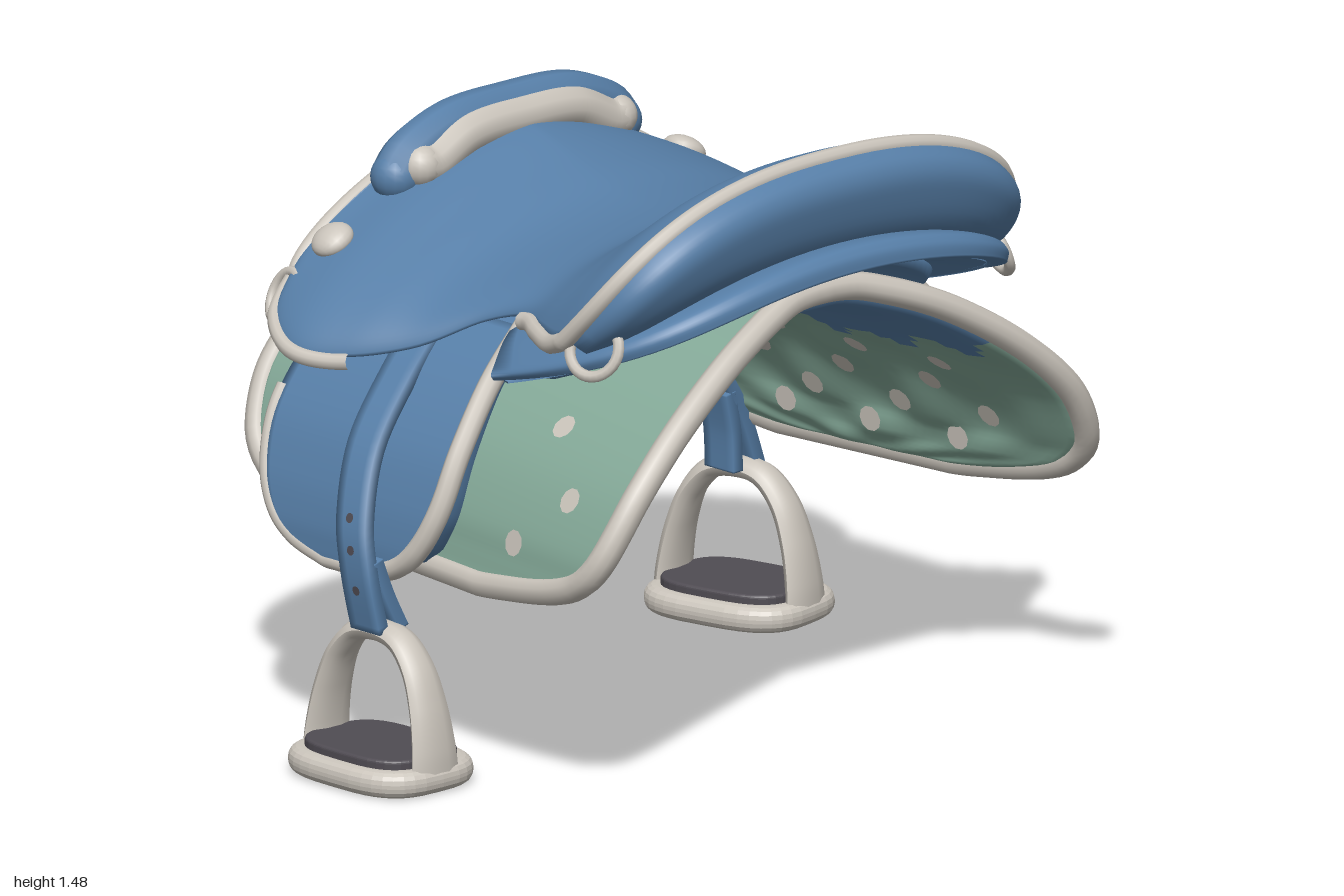
import * as THREE from 'three';

const paint = (name, color) => {
  const m = new THREE.MeshStandardMaterial({ color });
  m.name = name;
  return m;
};
const V = (x, y, z) => new THREE.Vector3(x, y, z);
const { clamp, lerp, smoothstep } = THREE.MathUtils;

// Smooth interpolation through the rows of a small table
const table = rows => t => {
  const n = rows.length, k = clamp(t, 0, 1) * (n - 1), i = Math.min(Math.floor(k), n - 2), w = k - i;
  const [a, b, c, d] = [-1, 0, 1, 2].map(o => rows[clamp(i + o, 0, n - 1)]);
  return b.map((_, j) => b[j] + 0.5 * w * (c[j] - a[j] + w * (2 * a[j] - 5 * b[j] + 4 * c[j] - d[j]
    + w * (3 * (b[j] - c[j]) + d[j] - a[j]))));
};

// Arched surface; rows hold ridge x, ridge y, edge x, edge y, half width, roundness power
const arch = rows => {
  const at = table(rows);
  return (u, v) => {
    const [xr, top, xe, low, half, q] = at(u), a = Math.abs(v) * Math.PI / 2;
    const c = Math.pow(Math.max(0, Math.cos(a)), q);
    return V(lerp(xr, xe, (1 - c) ** 2), lerp(low, top, c), Math.sign(v) * half * Math.pow(Math.sin(a), q));
  };
};

// Outward normal of a surface
const normalAt = (f, u, v, v0 = -1) => {
  const e = 0.004, cu = x => clamp(x, 0, 1), cv = x => clamp(x, v0, 1);
  const du = f(cu(u + e), v).sub(f(cu(u - e), v)), dv = f(u, cv(v + e)).sub(f(u, cv(v - e)));
  return dv.cross(du).normalize();
};

// Closed sheet with thickness depth(u, v); group 1 is the middle of its underside
function slab(f, nu, nv, depth, v0 = -1, liner = 0) {
  const pos = [], main = [], under = [], count = (nu + 1) * (nv + 1);
  for (let side = 0; side < 2; side++)
    for (let j = 0; j <= nv; j++)
      for (let i = 0; i <= nu; i++) {
        const u = i / nu, v = lerp(v0, 1, j / nv), p = f(u, v);
        if (side) p.addScaledVector(normalAt(f, u, v, v0), -depth(u, v));
        pos.push(p.x, p.y, p.z);
      }
  const id = (i, j) => j * (nu + 1) + i;
  for (let j = 0; j < nv; j++)
    for (let i = 0; i < nu; i++) {
      const a = id(i, j), b = id(i + 1, j), c = id(i, j + 1), d = id(i + 1, j + 1);
      main.push(a, c, b, b, c, d);
      const mid = Math.abs(lerp(v0, 1, (j + 0.5) / nv));
      const ragged = liner + 0.03 * Math.sin(i * 0.9);
      (liner && mid < ragged ? under : main).push(...[a, b, c, b, d, c].map(k => k + count));
    }
  const wall = (a, b) => main.push(a, b, a + count, b, b + count, a + count);
  for (let i = 0; i < nu; i++) { wall(id(i, 0), id(i + 1, 0)); wall(id(i + 1, nv), id(i, nv)); }
  for (let j = 0; j < nv; j++) { wall(id(0, j + 1), id(0, j)); wall(id(nu, j), id(nu, j + 1)); }
  const g = new THREE.BufferGeometry();
  g.setAttribute('position', new THREE.Float32BufferAttribute(pos, 3));
  g.setIndex([...main, ...under]);
  g.addGroup(0, main.length, 0);
  g.addGroup(main.length, under.length, 1);
  g.computeVertexNormals();
  return g;
}

const tube = (pts, r, closed = false, segs = 160) =>
  new THREE.TubeGeometry(new THREE.CatmullRomCurve3(pts, closed, 'centripetal'), segs, r, 10, closed);

// Points along a straight run in (u, v) over a sheet, without the last one
const run = (f, n, [u0, v0], [u1, v1]) =>
  Array.from({ length: n }, (_, i) => f(lerp(u0, u1, i / n), lerp(v0, v1, i / n)));

export function createModel() {
  const blue = paint('blue leather', 0x577fa8), cream = paint('pale trim', 0xcbc5bc);
  const green = paint('green cloth', 0x85aa99), dark = paint('dark rubber', 0x504c53);
  const model = new THREE.Group(), saddle = new THREE.Group();
  saddle.name = 'saddle';
  saddle.position.z = -0.08;
  model.add(saddle);
  const add = (name, geo, mat, parent = saddle) => {
    const m = new THREE.Mesh(geo, mat);
    m.name = name;
    parent.add(m);
    return m;
  };
  const place = (mesh, p, n, lift) => {
    mesh.position.copy(p).addScaledVector(n, lift);
    mesh.quaternion.setFromUnitVectors(V(0, 0, 1), n);
  };

  // Saddle cloth: y, half width, front x, back x from ridge to hem
  const cloth = table([[1.14, 0, -.57, .60], [1.132, .13, -.575, .605], [1.075, .32, -.61, .645], [1.0, .48, -.655, .675],
    [.90, .64, -.695, .70], [.78, .775, -.71, .71], [.645, .86, -.675, .68], [.567, .882, -.59, .60],
    [.525, .892, -.46, .45], [.498, .9, -.28, .25]]);
  const pad = (u, v) => {
    const [y, d, x0, x1] = cloth(Math.abs(v)), x = lerp(x0, x1, u);
    return V(x, y, Math.sign(v) * d * (0.83 + 0.135 * x));
  };
  // Lining, thickest under the ridge and quilted on the sides
  const quilt = (u, v) => {
    const a = Math.abs(v), edge = Math.sqrt(Math.max(0, Math.sin(Math.PI * u) * (1 - v * v)));
    return .045 + edge * (.05 * (1 - a) + .03 + .014 * smoothstep(a, .25, .5) * Math.sin(u * 25) * Math.sin(v * 22));
  };
  add('saddleCloth', slab(pad, 48, 80, quilt, -1, 0.4), [green, blue]);
  const rim = [...run(pad, 16, [0, -1], [1, -1]), ...run(pad, 36, [1, -1], [1, 1]),
    ...run(pad, 16, [1, 1], [0, 1]), ...run(pad, 36, [0, 1], [0, -1])].map(p => p.add(V(0, -.012, -.015 * Math.sign(p.z))));
  add('clothTrim', tube(rim, 0.034, true, 260), cream);

  // Dots on both faces of the cloth
  const dot = (x, y, side, inside) => {
    let lo = 0, hi = 1;
    for (let k = 0; k < 24; k++) { const m = (lo + hi) / 2; if (cloth(m)[0] > y) lo = m; else hi = m; }
    const [, , x0, x1] = cloth(lo), u = (x - x0) / (x1 - x0), n = normalAt(pad, u, side * lo), p = pad(u, side * lo);
    if (inside) p.addScaledVector(n, -quilt(u, side * lo)), n.negate();
    place(add('clothDot', new THREE.CircleGeometry(0.032, 10), cream), p, n, 0.007);
  };
  for (const side of [1, -1]) {
    for (const [x, y] of [[-.585, .87], [-.525, .705], [-.42, .58], [.37, .86], [.52, .735], [.37, .61]]) dot(x, y, side);
    for (let r = 0; r < 4; r++)
      for (let k = 0; k < 4; k++) dot(-.46 + .26 * k + .12 * (r % 2), .585 + .1 * r, side, true);
  }

  // Under panel, rear skirt, pommel front and padded cantle back
  add('underPanel', slab(arch([[-.59, 1.18, -.46, .88, .67, 1.1], [-.3, 1.18, -.3, .9, .62, 1.1], [0, 1.17, 0, .93, .6, 1.1],
    [.5, 1.18, .3, .96, .58, 1.1]]), 24, 40, () => .03), blue);
  add('rearSkirt', slab(arch([[.2, 1.15, .1, 1.06, .5, 1], [.45, 1.21, .15, 1.03, .6, 1], [.68, 1.26, .19, .99, .67, 1],
    [.735, 1.245, .2, .97, .69, 1], [.745, 1.205, .2, .955, .68, 1]]), 24, 48, u => .04 + .025 * u), blue);
  add('pommelFront', slab(arch([[-.58, 1.16, -.52, .95, .62, 1.1], [-.575, 1.27, -.55, 1.02, .63, 1.3],
    [-.56, 1.33, -.55, 1.06, .62, 1.35]]), 10, 40, () => .02), blue);
  add('cantleBack', slab(arch([[.63, 1.47, .43, 1.11, .67, .85], [.69, 1.43, .47, 1.09, .665, .85],
    [.70, 1.36, .48, 1.07, .64, .87], [.65, 1.24, .45, 1.05, .6, .95], [.5, 1.18, .35, 1.04, .55, 1]]), 24, 48, () => .02), blue);

  // Seat with trim round the pommel and round the cantle
  const seat = arch([[-.56, 1.33, -.55, 1.06, .62, 1.4], [-.50, 1.34, -.50, .99, .73, 1.5], [-.38, 1.32, -.38, .94, .79, 1.4],
    [-.22, 1.265, -.24, .935, .755, 1.25], [-.08, 1.225, -.08, .975, .67, 1.15], [.08, 1.22, .06, 1.05, .585, 1.05],
    [.24, 1.25, .18, 1.085, .56, .95], [.40, 1.355, .27, 1.085, .605, .9], [.53, 1.445, .36, 1.085, .65, .86],
    [.63, 1.47, .43, 1.11, .67, .85]]);
  add('seat', slab(seat, 60, 64, () => .03), blue);
  const seatTrim = (name, end, stop, r) => {
    const pts = [...run(seat, 14, [stop, -1], [end, -1]), ...run(seat, 32, [end, -1], [end, 1]),
      ...run(seat, 14, [end, 1], [stop, 1])].map(p => p.add(V(0, -.012, 0)));
    add(name, tube(pts, r, false, 200), cream);
  };
  seatTrim('pommelTrim', 0, .37, .02);
  seatTrim('cantleTrim', 1, .63, .023);

  // Pommel roll with a pale strip behind it
  const roll = (name, x, y, r, reach, drop, mat) => {
    const path = [[-1, -drop], [-.9, -.06], [-.55, -.01], [0, 0], [.55, -.01], [.9, -.06], [1, -drop]]
      .map(([z, h]) => V(x, y + h, z * reach));
    add(name, tube(path, r, false, 48), mat);
    for (const p of [path[0], path[6]]) add(name + 'End', new THREE.SphereGeometry(r, 16, 12), mat).position.copy(p);
  };
  roll('pommelRoll', -.487, 1.348, .061, .355, .1, blue);
  roll('pommelRollTrim', -.445, 1.335, .051, .315, .06, cream);

  // Side flap: y, distance out, front x, back x
  const flapRows = table([[1.045, .53, -.42, .13], [.94, .68, -.43, .17], [.8, .80, -.43, .195], [.67, .86, -.405, .19],
    [.57, .885, -.355, .145], [.51, .89, -.28, .075], [.478, .89, -.17, -.03]]);
  // Stirrup frame and tread outlines
  const oval = (a, b) => new THREE.Shape(Array.from({ length: 36 }, (_, i) => {
    const t = i / 36 * Math.PI * 2, q = x => Math.sign(x) * Math.abs(x) ** 0.6;
    return new THREE.Vector2(a * q(Math.cos(t)), b * q(Math.sin(t)));
  }));
  const plate = (a, b, h, bevel) => new THREE.ExtrudeGeometry(oval(a - bevel, b - bevel), { depth: h - 2 * bevel,
    bevelThickness: bevel, bevelSize: bevel, bevelSegments: 4 }).rotateX(-Math.PI / 2).translate(0, bevel, 0);
  const half = [[.188, .035], [.184, .1], [.164, .2], [.128, .288], [.072, .345]];
  const hoop = tube([...half.map(([x, y]) => V(-x, y, 0)), V(0, .358, 0), ...half.reverse().map(([x, y]) => V(x, y, 0))], .027, false, 80);
  const hp = hoop.attributes.position;
  for (let i = 0; i < hp.count; i++) hp.setZ(i, hp.getZ(i) * (1.4 + (.39 - hp.getY(i)) * 4));
  hoop.computeVertexNormals();
  const addStirrup = (x, z, turn) => {
    const g = new THREE.Group();
    g.name = 'stirrup';
    g.position.set(x, 0, z);
    g.rotation.y = turn;
    saddle.add(g);
    add('stirrupBow', hoop, cream, g);
    add('stirrupBase', plate(.218, .17, .065, .028), cream, g);
    add('stirrupTread', plate(.18, .135, .03, .008), dark, g).position.y = .057;
  };
  // Leather strap hanging along x, y, distance rows
  const strap = (name, rows, side) => {
    const at = table(rows);
    const f = (u, v) => { const [x, y, d] = at(v); return V(x + side * (u - .5) * .1, y, side * d); };
    add(name, slab(f, 4, 30, () => .03, 0), blue);
    return f;
  };

  for (const side of [1, -1]) {
    const flap = (u, v) => {
      const [y, d, x0, x1] = flapRows(v);
      return V(side > 0 ? lerp(x0, x1, u) : lerp(x1, x0, u), y, side * d);
    };
    add('sideFlap', slab(flap, 24, 36, (u, v) => .045 + .075 * v, 0), blue);
    // Thin trim on the front edge and hem, wider trim on the back edge
    const front = side > 0 ? 0 : 1, back = 1 - front;
    const inset = p => p.add(V(0, 0, -side * .016));
    const hem = [...run(flap, 18, [front, .3], [front, 1]), ...run(flap, 4, [front, 1], [back, 1]), flap(back, 1)];
    add('flapHemTrim', tube(hem.map(inset), .02), cream);
    add('flapBackTrim', tube([...run(flap, 20, [back, 0], [back, 1]), flap(back, 1)].map(inset), .027), cream);

    // Round stud and two hanging rings
    const stud = add('stud', new THREE.SphereGeometry(.053, 20, 12).scale(1, 1, .6), cream);
    place(stud, seat(.135, side * .62), normalAt(seat, .135, side * .62), .006);
    for (const [x, y, z, r] of [[-.535, .998, .655, .062], [.505, 1.085, .635, .065]])
      place(add('ring', new THREE.TorusGeometry(r, .014, 8, 28), cream), V(x, y, side * z),
        V(x * .6, .45, side).normalize(), .01);
  }

  // Near stirrup outside the flap, far stirrup under the cloth
  const leather = strap('stirrupLeather', [[-.12, 1.02, .6], [-.085, .93, .73], [-.045, .79, .875], [.0, .63, .955],
    [.03, .5, .97], [.045, .36, .95]], 1);
  strap('innerLeather', [[.025, .53, .95], [.035, .44, .92], [.045, .36, .885]], 1);
  for (const v of [.6, .71, .85])
    place(add('strapHole', new THREE.CircleGeometry(.012, 12), dark), leather(.5, v), normalAt(leather, .5, v, 0), .004);
  addStirrup(.05, .905, 0);
  strap('stirrupLeather', [[-.4, .88, .42], [-.4, .68, .55], [-.4, .52, .65], [-.4, .36, .71]], -1);
  strap('innerLeather', [[-.4, .56, .61], [-.4, .46, .63], [-.4, .36, .635]], -1);
  addStirrup(-.395, -.665, .22);
  return model;
}
